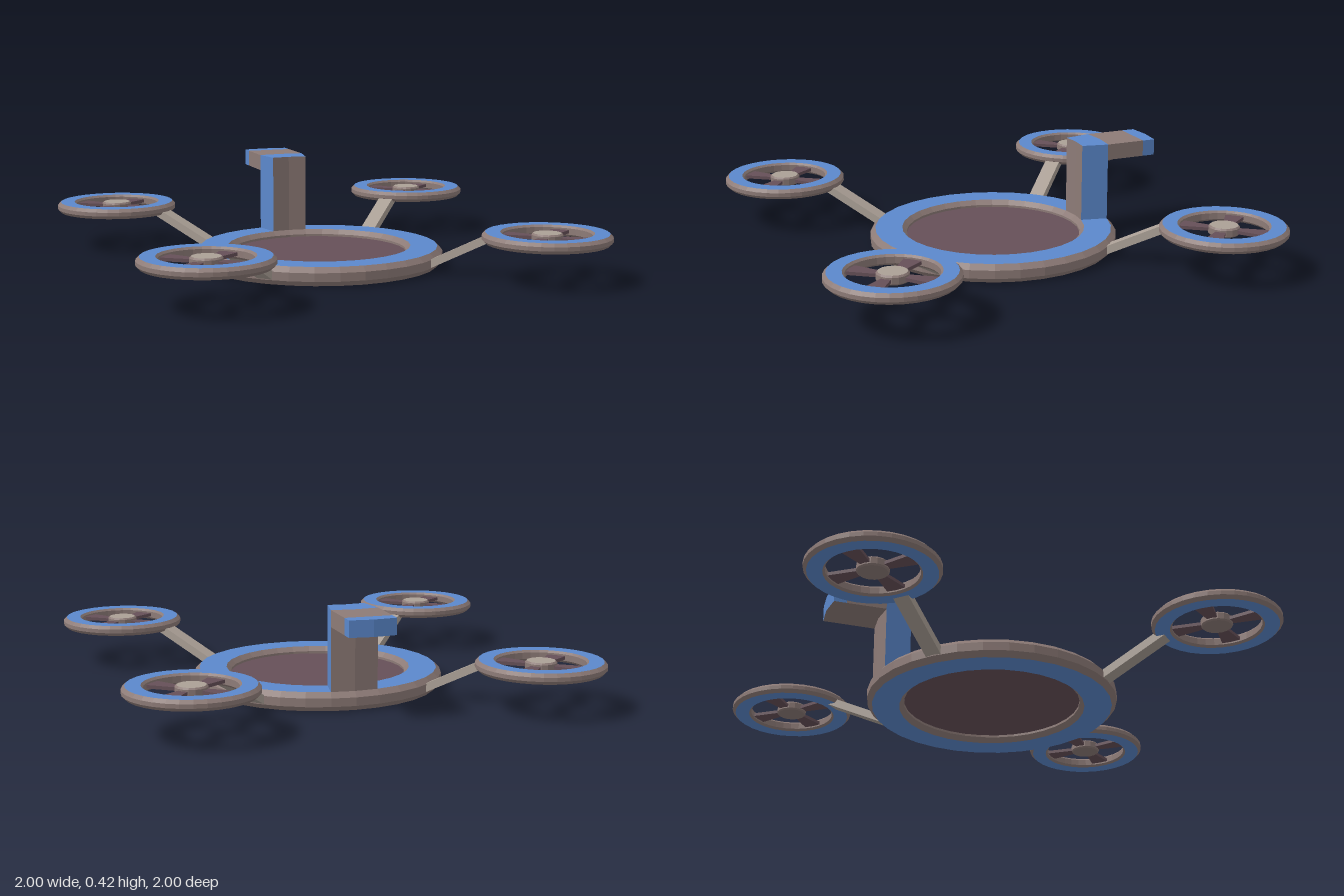
import * as THREE from 'three';

const material = (name, color) => {
  const m = new THREE.MeshStandardMaterial({ color, flatShading: true });
  m.name = name;
  return m;
};

export function createModel() {
  const blue = material('blue', 0x5b88cc);
  const brown = material('brown', 0x8d7b77);
  const plum = material('plum', 0x665058);
  const beige = material('beige', 0xaba096);

  const group = (name, parent) => {
    const g = new THREE.Group();
    g.name = name;
    parent.add(g);
    return g;
  };
  const mesh = (name, geometry, mat, parent) => {
    const m = new THREE.Mesh(geometry, mat);
    m.name = name;
    parent.add(m);
    return m;
  };
  const lathe = (name, points, mat, parent, sides = 32) => mesh(name,
    new THREE.LatheGeometry(points.map(([r, y]) => new THREE.Vector2(r, y)), sides), mat, parent);

  // Bevelled ring: blue flat faces, brown edges
  const bevelledRing = (name, ri, ro, y0, y1, b, bi, parent) => {
    const g = group(name, parent);
    lathe('lowerFace', [[ri + bi, y0], [ro - b, y0]], blue, g);
    lathe('outerEdge', [[ro - b, y0], [ro, y0 + b], [ro, y1 - b], [ro - b, y1]], brown, g);
    lathe('upperFace', [[ro - b, y1], [ri + bi, y1]], blue, g);
    lathe('innerEdge', [[ri + bi, y1], [ri, y1 - bi], [ri, y0 + bi], [ri + bi, y0]], brown, g);
  };

  // Block shaped as a piece of the ring; materials for top, bottom, sides, inner and outer walls
  const segmentBlock = (name, inner, outer, y0, y1, mats, parent) => {
    const n = inner.length;
    const outline = [...inner, ...outer.slice().reverse()];
    const pos = [];
    const geometry = new THREE.BufferGeometry();
    const quad = (a, b, c, d) => [a, b, c, a, c, d].forEach((p) => pos.push(...p));
    const addGroup = (mat, build) => {
      const start = pos.length / 3;
      build();
      geometry.addGroup(start, pos.length / 3 - start, mat);
    };
    const at = ([x, z], y) => [x, y, z];
    for (let i = 0; i < n - 1; i++) {
      const [a, b, c, d] = [inner[i], inner[i + 1], outer[i + 1], outer[i]];
      addGroup(0, () => quad(at(a, y1), at(b, y1), at(c, y1), at(d, y1)));
      addGroup(1, () => quad(at(d, y0), at(c, y0), at(b, y0), at(a, y0)));
    }
    outline.forEach((p, i) => {
      const q = outline[(i + 1) % outline.length];
      const wall = i < n - 1 ? 3 : (i === n - 1 || i === 2 * n - 1 ? 2 : 4);
      addGroup(wall, () => quad(at(p, y0), at(q, y0), at(q, y1), at(p, y1)));
    });
    geometry.setAttribute('position', new THREE.Float32BufferAttribute(pos, 3));
    geometry.computeVertexNormals();
    mesh(name, geometry, mats, parent);
  };

  const model = new THREE.Group();
  model.name = 'hoverPlatform';

  // Round platform with a recessed floor
  bevelledRing('platformRing', 0.38, 0.54, 0, 0.08, 0.022, 0.02, model);
  mesh('floor', new THREE.CylinderGeometry(0.382, 0.382, 0.02, 32), plum, model)
    .position.y = 0.04;

  // Control column standing on the back of the ring, with a shelf pointing backwards
  const step = Math.PI / 16;
  const arc = (r) => [-1, 0, 1].map((k) => [r * Math.sin(k * step), -r * Math.cos(k * step)]);
  const bow = (z, sag) => [[-0.1, z + sag], [0, z], [0.1, z + sag]];
  const column = group('controlColumn', model);
  segmentBlock('columnPost', arc(0.4), arc(0.518), 0.075, 0.42,
    [blue, brown, blue, brown, brown], column);
  segmentBlock('shelf', arc(0.518), bow(-0.682, 0), 0.35, 0.42,
    [brown, brown, brown, brown, brown], column);
  segmentBlock('shelfTip', bow(-0.682, 0), bow(-0.748, 0.01), 0.35, 0.42,
    [blue, brown, blue, blue, blue], column);

  // Tapered rotor blade lying flat
  const bladeShape = new THREE.Shape([[0.045, -0.018], [0.19, -0.041], [0.19, 0.041], [0.045, 0.018]]
    .map(([x, y]) => new THREE.Vector2(x, y)));
  const bladeGeometry = new THREE.ExtrudeGeometry(bladeShape, { depth: 0.014, bevelEnabled: false });
  bladeGeometry.rotateX(-Math.PI / 2);

  // Four arms, each carrying a ringed rotor
  const from = [0.52, 0.035];
  const to = [0.81, 0.18];
  const length = Math.hypot(to[0] - from[0], to[1] - from[1]);
  for (let i = 0; i < 4; i++) {
    const unit = group('rotorUnit' + (i + 1), model);
    unit.rotation.y = Math.PI / 4 + i * Math.PI / 2;

    const arm = mesh('arm', new THREE.BoxGeometry(length, 0.034, 0.068), beige, unit);
    arm.position.set((from[0] + to[0]) / 2, (from[1] + to[1]) / 2, 0);
    arm.rotation.z = Math.atan2(to[1] - from[1], to[0] - from[0]);

    const rotor = group('rotor', unit);
    rotor.position.set(0.73 * Math.SQRT2, 0.163, 0);
    bevelledRing('guardRing', 0.185, 0.27, 0, 0.045, 0.014, 0.009, rotor);
    for (let k = 0; k < 4; k++) {
      const blade = mesh('blade', bladeGeometry, plum, rotor);
      blade.position.y = 0.015;
      blade.rotation.y = k * Math.PI / 2;
    }
    lathe('hubRim', [[0, 0.004], [0.06, 0.004], [0.066, 0.01], [0.066, 0.036], [0.059, 0.043]],
      brown, rotor, 16);
    lathe('hubCap', [[0.059, 0.043], [0, 0.043]], beige, rotor, 16);
  }

  return model;
}
